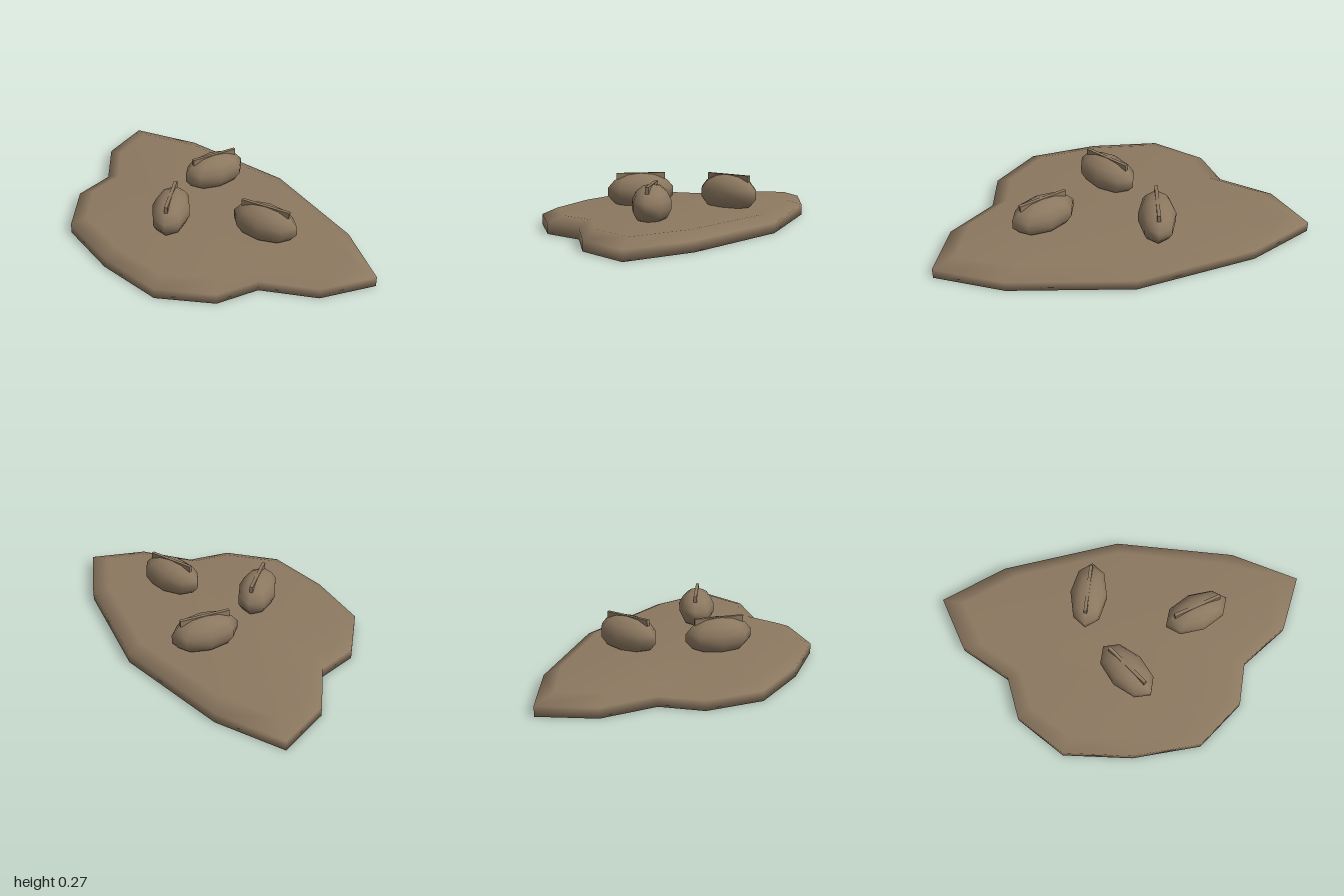
import * as THREE from 'three';

const earth = new THREE.MeshStandardMaterial({ color: 0x8c7860 });
earth.name = 'earth brown';

// Smooth-shaded slab: outline rings stacked from the underside to the bevelled top
function slabGeometry() {
  const half = [[0.65, -0.51], [1, -0.34], [0.89, -0.05], [0.65, 0.14], [0.6, 0.37], [0.37, 0.58]];
  const outline = [[0, -0.625], ...half, [0, 0.62], ...half.map(([x, z]) => [-x, z]).reverse()];
  const rings = [[0, 1], [0.055, 1], [0.09, 0.88]]; // height, scale
  const n = outline.length;
  const pos = [], index = [];
  for (const [y, s] of rings) for (const [x, z] of outline) pos.push(x * s, y, z * s);
  const bottom = pos.length / 3, top = bottom + 1;
  pos.push(0, 0, 0, 0, 0.096, 0);
  for (let i = 0; i < n; i++) {
    const k = (i + 1) % n;
    for (let j = 0; j < rings.length - 1; j++) {
      const a = j * n + i, b = j * n + k;
      index.push(b, a, a + n, b, a + n, b + n);
    }
    const last = (rings.length - 1) * n;
    index.push(bottom, i, k, top, last + k, last + i);
  }
  const g = new THREE.BufferGeometry();
  g.setAttribute('position', new THREE.Float32BufferAttribute(pos, 3));
  g.setIndex(index);
  g.computeVertexNormals();
  return g;
}

// Oval stone with a narrow ridge bar let into its crown
function stone(x, z, angle) {
  const group = new THREE.Group();
  group.name = 'stone';
  const body = new THREE.Mesh(new THREE.SphereGeometry(1, 8, 7).scale(0.187, 0.102, 0.103), earth);
  body.name = 'stoneBody';
  const ridge = new THREE.Mesh(new THREE.BoxGeometry(0.27, 0.035, 0.018), earth);
  ridge.name = 'stoneRidge';
  ridge.position.y = 0.085;
  group.add(body, ridge);
  group.position.set(x, 0.165, z);
  group.rotation.y = angle;
  return group;
}

export function createModel() {
  const model = new THREE.Group();
  const slab = new THREE.Mesh(slabGeometry(), earth);
  slab.name = 'slab';
  model.add(slab);
  // Stones: x, z, turn about the vertical
  for (const [x, z, a] of [[-0.18, -0.27, 1.4], [0, 0.18, -0.86], [0.4, -0.13, 0.37]]) {
    model.add(stone(x, z, a));
  }
  return model;
}
